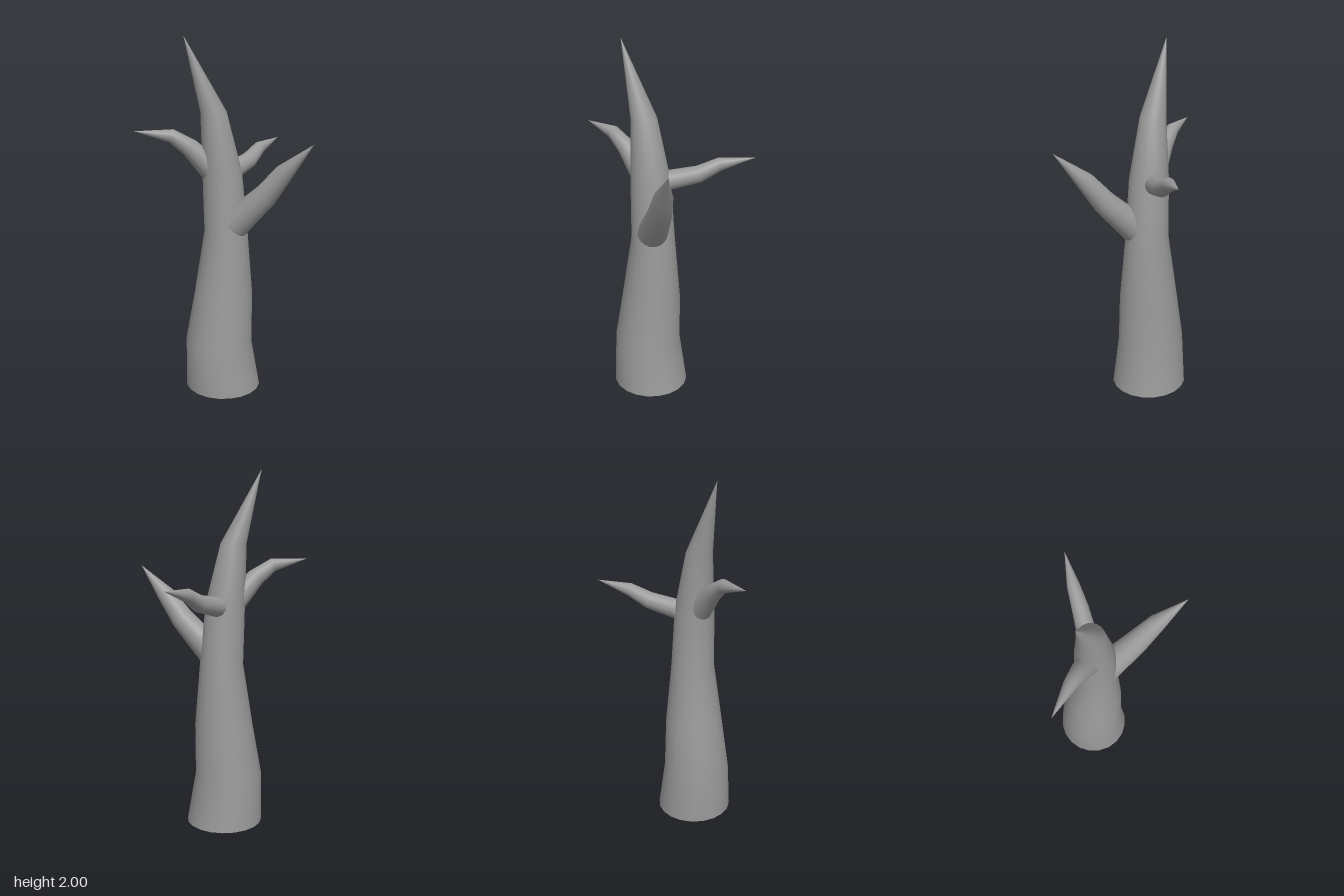
import * as THREE from 'three';

const SIDES = 20;

// Tapered limb through rings [x, y, z, radius]; the last ring is a pointed tip.
function limbGeometry(rings, level) {
  const pts = rings.map(([x, y, z]) => new THREE.Vector3(x, y, z));
  const up = new THREE.Vector3(0, 1, 0);
  const ref = level ? new THREE.Vector3(0, 0, 1) : up;
  const pos = [], index = [];
  rings.forEach(([, , , r], i) => {
    // Ring plane: level for the trunk, square to the path for branches
    const t = level ? up.clone()
      : pts[Math.min(i + 1, pts.length - 1)].clone().sub(pts[Math.max(i - 1, 0)]).normalize();
    const u = t.clone().cross(ref).normalize();
    const v = t.clone().cross(u);
    for (let j = 0; j < SIDES; j++) {
      const a = (j / SIDES) * Math.PI * 2;
      const p = pts[i].clone().addScaledVector(u, r * Math.cos(a)).addScaledVector(v, r * Math.sin(a));
      pos.push(p.x, p.y, p.z);
    }
  });
  for (let i = 0; i < rings.length - 1; i++) {
    for (let j = 0; j < SIDES; j++) {
      const k = (j + 1) % SIDES;
      const a = i * SIDES + j, b = i * SIDES + k, c = a + SIDES, d = b + SIDES;
      index.push(a, b, c);
      if (i < rings.length - 2) index.push(b, d, c);
    }
  }
  const g = new THREE.BufferGeometry();
  g.setAttribute('position', new THREE.Float32BufferAttribute(pos, 3));
  g.setIndex(index);
  g.computeVertexNormals();
  return g;
}

export function createModel() {
  const group = new THREE.Group();
  group.name = 'deadTree';
  const bark = new THREE.MeshStandardMaterial({ color: 0x999999 });
  bark.name = 'greyBark';

  const add = (name, geometry) => {
    const mesh = new THREE.Mesh(geometry, bark);
    mesh.name = name;
    group.add(mesh);
    return mesh;
  };

  // Trunk with a leaning pointed top
  add('trunk', limbGeometry([
    [0.035, 0, 0.025, 0.215],
    [0.01, 0.28, 0.025, 0.19],
    [0.037, 0.57, 0.025, 0.165],
    [0.05, 0.93, 0.025, 0.122],
    [0.028, 1.27, 0.023, 0.11],
    [-0.02, 1.6, 0.023, 0.072],
    [-0.18, 2, 0.025, 0],
  ], true));

  // Flat underside of the trunk
  const base = add('trunkBase', new THREE.CircleGeometry(0.215, SIDES));
  base.rotation.x = Math.PI / 2;
  base.position.set(0.035, 0, 0.025);

  // Three curved, pointed branches
  add('frontBranch', limbGeometry([
    [0.09, 0.985, 0.075, 0.085],
    [0.235, 1.165, 0.185, 0.066],
    [0.317, 1.3, 0.25, 0.05],
    [0.44, 1.465, 0.36, 0],
  ]));
  add('backBranch', limbGeometry([
    [0.08, 1.255, -0.035, 0.056],
    [0.22, 1.295, -0.155, 0.047],
    [0.3, 1.35, -0.235, 0.036],
    [0.445, 1.388, -0.36, 0],
  ]));
  add('rightBranch', limbGeometry([
    [-0.03, 1.285, 0.022, 0.068],
    [-0.15, 1.41, 0.022, 0.05],
    [-0.25, 1.477, 0.022, 0.037],
    [-0.45, 1.507, 0.022, 0],
  ]));

  return group;
}
